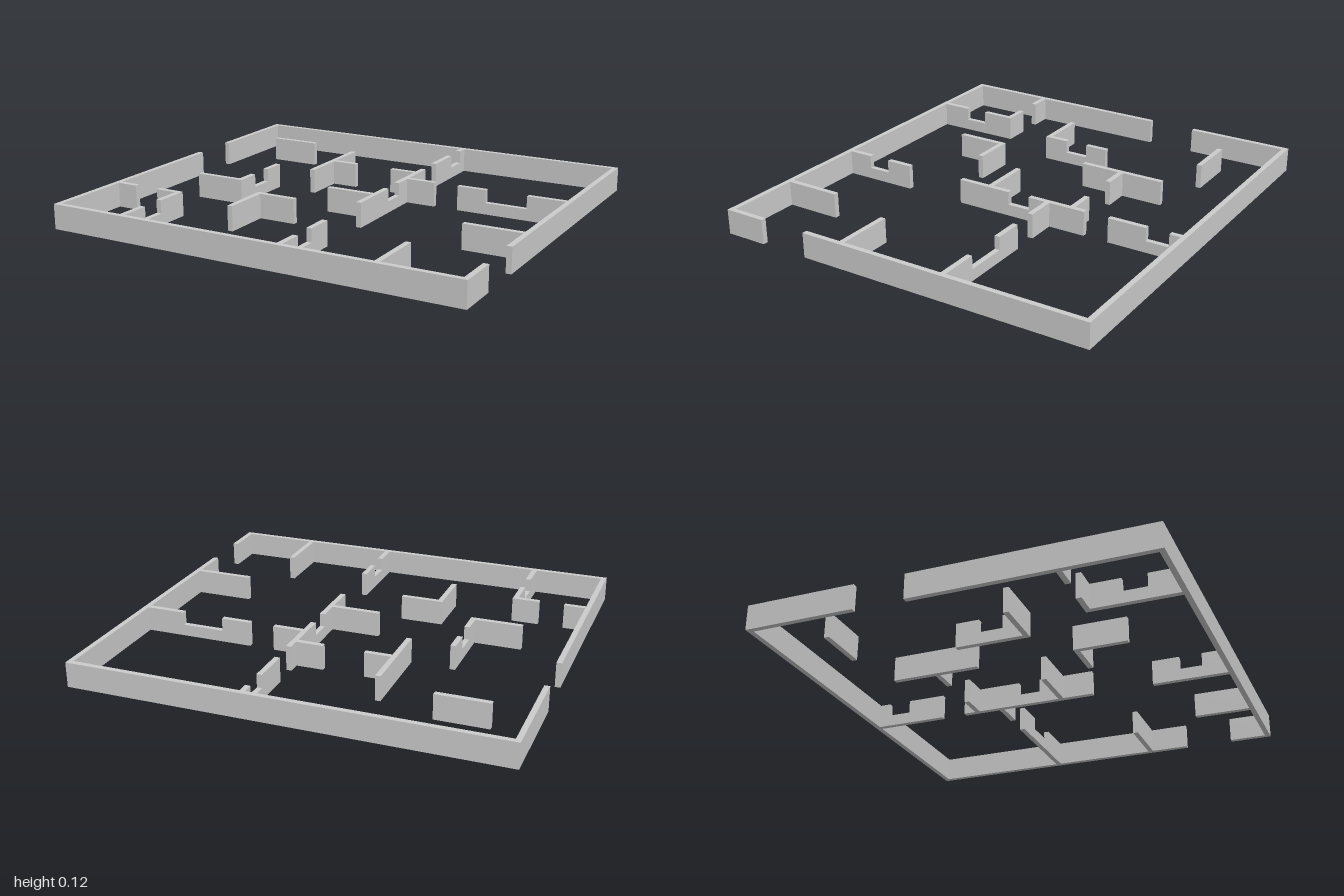
import * as THREE from 'three';

const HEIGHT = 0.117, SILL = 0.055, THICK = 0.025;
const material = new THREE.MeshStandardMaterial({ color: 0xcccccc, flatShading: true });

// Wall elevation from a to b, with an optional window notch cut into its top
function wallGeometry(a, b, notch) {
  const points = [[a, 0], [b, 0], [b, HEIGHT]];
  if (notch) {
    const [n0, n1] = notch;
    points.push([n1, HEIGHT], [n1, SILL], [n0, SILL], [n0, HEIGHT]);
  }
  points.push([a, HEIGHT]);
  const shape = new THREE.Shape(points.map(([u, v]) => new THREE.Vector2(u, v)));
  const geometry = new THREE.ExtrudeGeometry(shape, { depth: THICK, bevelEnabled: false });
  return geometry.translate(0, 0, -THICK / 2);
}

// Wall running along x at a given z
function wallX(name, z, x0, x1, notch) {
  const mesh = new THREE.Mesh(wallGeometry(x0, x1, notch), material);
  mesh.position.z = z;
  mesh.name = name;
  return mesh;
}

// Wall running along z at a given x
function wallZ(name, x, z0, z1, notch) {
  const flipped = notch && [-notch[1], -notch[0]];
  const mesh = new THREE.Mesh(wallGeometry(-z1, -z0, flipped), material);
  mesh.rotation.y = Math.PI / 2;
  mesh.position.x = x;
  mesh.name = name;
  return mesh;
}

export function createModel() {
  const model = new THREE.Group();
  model.name = 'floorPlanWalls';
  const X = 1 - THICK / 2, Z = 0.917 - THICK / 2, D = 0.917;

  // Outer walls, with an entrance gap on each side
  const outer = new THREE.Group();
  outer.name = 'outerWalls';
  outer.add(
    wallX('backWall', -Z, -1, 1),
    wallX('frontWall', Z, -1, 1),
    wallZ('rightWallBack', -X, -D, -0.405),
    wallZ('rightWallFront', -X, -0.17, D),
    wallZ('leftWallBack', X, -D, 0.48),
    wallZ('leftWallFront', X, 0.715, D),
  );

  // Partitions along x: z, x start, x end, window
  const crossWalls = [
    [-0.632, -0.815, -0.57],
    [-0.355, -0.3, -0.165],
    [-0.355, 0.03, 0.17],
    [-0.235, 0.17, 0.325],
    [-0.235, 0.445, X, [0.587, 0.79]],
    [0.08, -0.075, 0.17],
    [0.17, -0.745, -0.498],
    [0.285, 0.7, X],
    [0.322, -0.314, -0.11],
    [0.49, -X, -0.873],
    [0.49, -0.75, -0.621],
  ];

  // Partitions along z: x, z start, z end, window
  const lengthWalls = [
    [-0.633, 0.478, Z, [0.64, 0.752]],
    [-0.51, -0.16, 0.182, [-0.05, 0.062]],
    [-0.302, -0.567, -0.15],
    [-0.302, 0.31, 0.56],
    [0.17, -Z, -0.545, [-0.84, -0.73]],
    [0.17, -0.425, 0.238, [-0.137, -0.03]],
    [0.17, 0.535, Z, [0.665, 0.773]],
    [0.612, 0.625, Z],
  ];

  const inner = new THREE.Group();
  inner.name = 'innerWalls';
  crossWalls.forEach((w, i) => inner.add(wallX(`crossPartition${i + 1}`, ...w)));
  lengthWalls.forEach((w, i) => inner.add(wallZ(`lengthPartition${i + 1}`, ...w)));

  model.add(outer, inner);
  return model;
}
